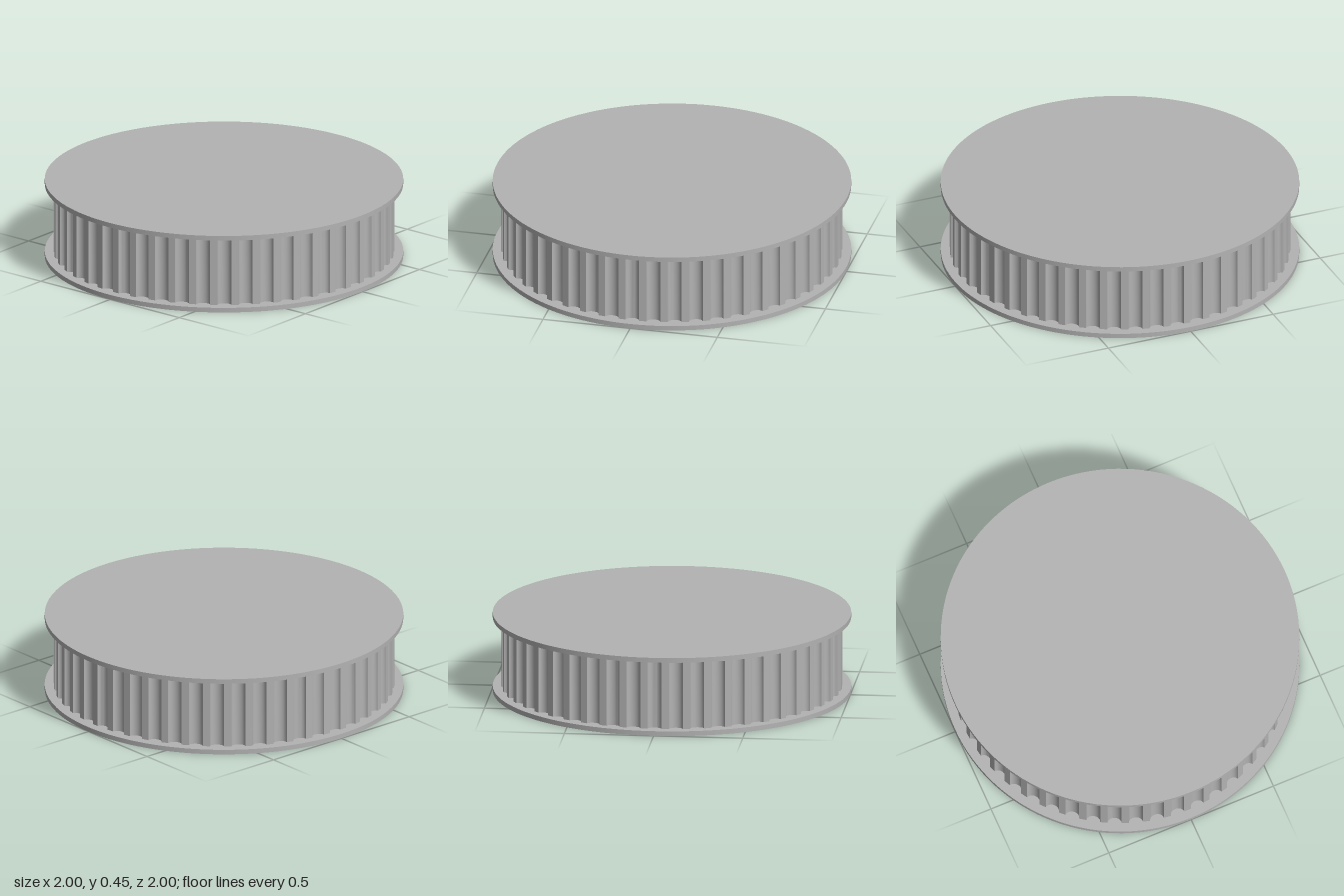
import * as THREE from 'three';
import { toCreasedNormals } from 'three/addons/utils/BufferGeometryUtils.js';

const TEETH = 50, RADIUS = 0.95, HEIGHT = 0.45, FLANGE = 0.027;
const GROOVE_HALF = 0.0395, GROOVE_DEPTH = 0.031, ARC_STEPS = 12;

// Outline of the toothed drum: flat lands with a rounded groove between each pair
function drumShape() {
  const points = [];
  const pitch = (Math.PI * 2) / TEETH;
  const halfAngle = Math.asin(GROOVE_HALF / RADIUS);
  for (let i = 0; i < TEETH; i++) {
    const centre = i * pitch; // a groove is centred on +x, a land on +z
    for (let j = 0; j <= ARC_STEPS; j++) {
      const t = (j / ARC_STEPS) * Math.PI;
      const a = centre - halfAngle * Math.cos(t);
      const r = RADIUS - GROOVE_DEPTH * Math.sin(t);
      points.push(new THREE.Vector2(r * Math.cos(a), r * Math.sin(a)));
    }
  }
  return new THREE.Shape(points);
}

export function createModel() {
  const group = new THREE.Group();
  group.name = 'timingPulley';
  const metal = new THREE.MeshStandardMaterial({ color: 0xb3b3b3 });
  metal.name = 'grey metal';

  // Toothed drum between the flanges
  const extruded = new THREE.ExtrudeGeometry(drumShape(), {
    depth: HEIGHT - 2 * FLANGE, bevelEnabled: false,
  });
  extruded.rotateX(-Math.PI / 2);
  const drum = new THREE.Mesh(toCreasedNormals(extruded, 0.5), metal);
  drum.name = 'toothedDrum';
  drum.position.y = FLANGE;
  group.add(drum);

  // Thin round flanges that retain the belt
  const disc = new THREE.CylinderGeometry(1, 1, FLANGE, 128);
  for (const [name, y] of [['bottomFlange', FLANGE / 2], ['topFlange', HEIGHT - FLANGE / 2]]) {
    const flange = new THREE.Mesh(disc, metal);
    flange.name = name;
    flange.position.y = y;
    group.add(flange);
  }
  return group;
}
